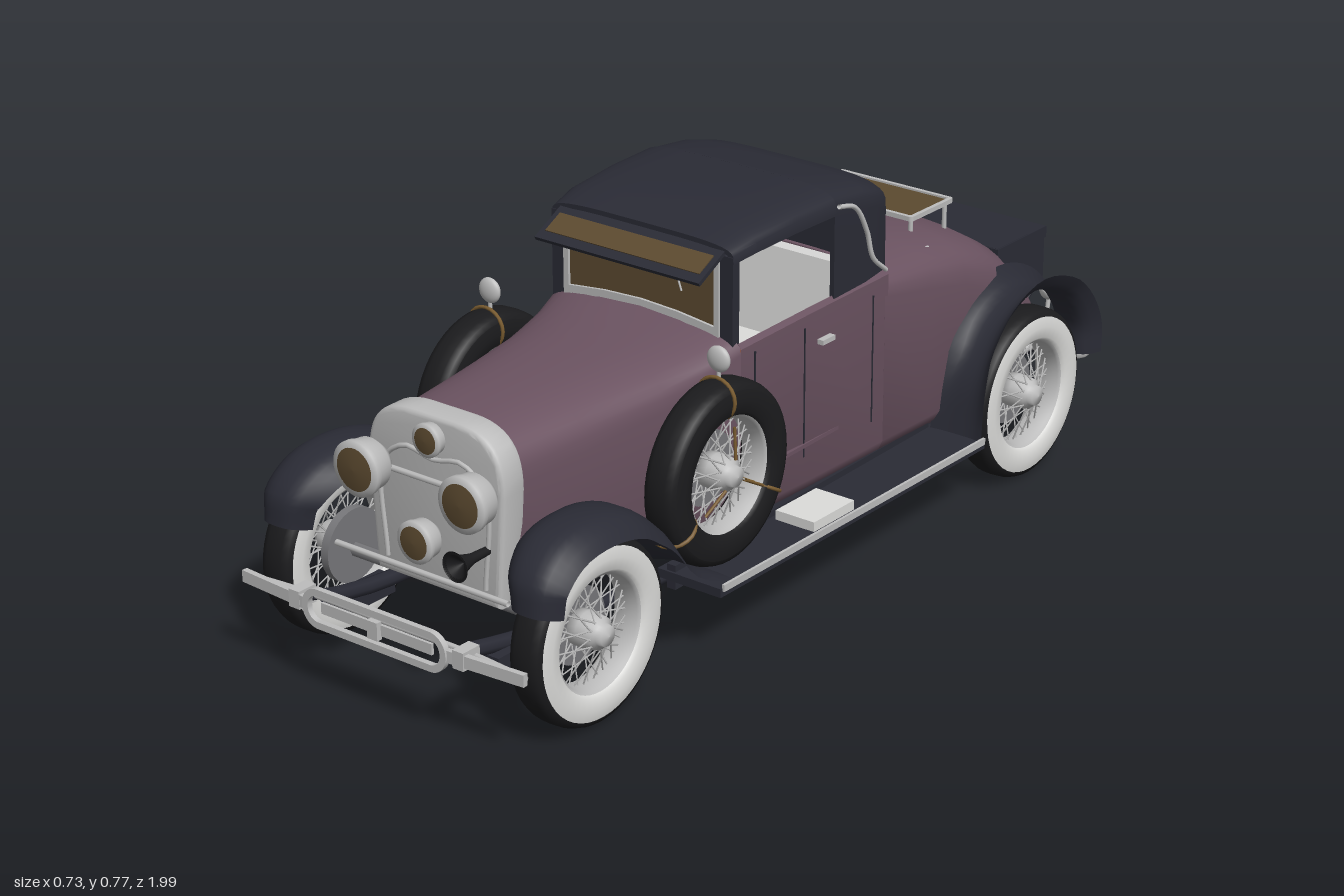
import * as THREE from 'three';
import { mergeGeometries, toCreasedNormals } from 'three/addons/utils/BufferGeometryUtils.js';

const mat = (name, color) => new THREE.MeshStandardMaterial({ name, color, side: THREE.DoubleSide });
const M = {
  body: mat('plum paint', 0x6b5361), black: mat('black enamel', 0x2a2b35), tyre: mat('tyre rubber', 0x1b1b1d),
  white: mat('white trim', 0xdcdcda), chrome: mat('bright metal', 0xbdbdbd), glass: mat('amber glass', 0x5c4a30),
  wood: mat('tan leather', 0x9a4c25), brass: mat('brass', 0x7a5c30), steel: mat('dull steel', 0x77777a),
};
const V = (x, y, z) => new THREE.Vector3(x, y, z);
const sides = [-1, 1];

function add(parent, name, geo, material, pos = [0, 0, 0], rot = [0, 0, 0]) {
  const m = new THREE.Mesh(geo, material);
  m.name = name;
  m.position.set(...pos);
  m.rotation.set(...rot);
  parent.add(m);
  return m;
}
const box = (p, name, material, size, pos, rot) => add(p, name, new THREE.BoxGeometry(...size), material, pos, rot);
const tubeGeo = (pts, r, n = 8, closed = false) => pts.length === 2
  ? new THREE.TubeGeometry(new THREE.LineCurve3(V(...pts[0]), V(...pts[1])), 1, r, n)
  : new THREE.TubeGeometry(new THREE.CatmullRomCurve3(pts.map(q => V(...q)), closed), 32, r, n, closed);
const tube = (p, name, material, pts, r, closed) => add(p, name, tubeGeo(pts, r, 8, closed), material);
const lathe = (pts, n = 40) => new THREE.LatheGeometry(pts.map(q => new THREE.Vector2(...q)), n);

// Skins a stack of counter-clockwise loops running from front to back
function loft(loops, cap) {
  const n = loops[0].length, pos = loops.flat(2), idx = [], last = (loops.length - 1) * n;
  for (let i = 0; i < loops.length - 1; i++) for (let j = 0; j < n; j++) {
    const a = i * n + j, b = i * n + (j + 1) % n;
    idx.push(a, a + n, b, b, a + n, b + n);
  }
  if (cap === 'solid') for (let j = 1; j < n - 1; j++) idx.push(0, j, j + 1, last, last + j + 1, last + j);
  if (cap === 'band') for (let j = 0; j < n / 2 - 1; j++) {
    const k = n - 1 - j;
    for (const o of [0, last]) idx.push(o + j, o + j + 1, o + k, o + k, o + j + 1, o + k - 1);
  }
  const g = new THREE.BufferGeometry();
  g.setAttribute('position', new THREE.Float32BufferAttribute(pos, 3));
  g.setIndex(idx);
  return toCreasedNormals(g, 0.65);
}
const mirrorLoop = (half, z) => [...half.map(([x, y]) => [x, y, z]), ...half.slice().reverse().map(([x, y]) => [-x, y, z])];
const lower = (w, yb) => [[w * 0.82, yb], [w * 0.96, yb + 0.03], [w, yb + 0.05]];
function crown(w, ys, yt, e, z, n = 18) {
  return Array.from({ length: n + 1 }, (_, k) => {
    const t = Math.PI * k / n, c = Math.cos(t);
    return [Math.sign(c) * w * Math.abs(c) ** e, ys + (yt - ys) * Math.abs(Math.sin(t)) ** e, z];
  });
}
const bodyLoop = ([z, w, yb, ys, yt]) => {
  const l = lower(w, yb);
  return [...l.map(([x, y]) => [x, y, z]), ...crown(w, ys, yt, 0.72, z), ...l.reverse().map(([x, y]) => [-x, y, z])];
};
const tubLoop = ([z, w, yb, ys]) =>
  mirrorLoop([...lower(w, yb), [w, ys], [w - 0.008, ys + 0.01], [w - 0.02, ys], [w - 0.02, yb + 0.03]], z);
const arch = (w, yb, yt, z) => [[w, yb, z], ...crown(w, Math.max(yb + 0.002, yt - 0.055), yt, 0.5, z), [-w, yb, z]];
const archBand = ([z, w, yb, yt]) => [...arch(w, yb, yt, z), ...arch(w - 0.01, yb, yt - 0.01, z).reverse()];

// Crowned sheet swept along a side path of [z, y, inner x, outer x]
function fender(path, s) {
  const curve = new THREE.CatmullRomCurve3(path.map(p => V(0, p[1], p[0])));
  const edge = new THREE.CatmullRomCurve3(path.map(p => V(p[2], p[3], 0)));
  const n = 28, m = 10, pos = [], idx = [];
  for (let i = 0; i <= n; i++) {
    const c = curve.getPoint(i / n), t = curve.getTangent(i / n), e = edge.getPoint(i / n);
    for (let j = 0; j <= m; j++) {
      const u = j / m, drop = 0.04 * Math.abs(2 * u - 1) ** 3 * Math.min(1, 2.5 * (1 - i / n) + 0.1);
      pos.push(s * (e.x + (e.y - e.x) * u), c.y + t.z * drop, c.z - t.y * drop);
      if (i < n && j < m) {
        const a = i * (m + 1) + j, b = a + m + 1;
        idx.push(a, b, a + 1, a + 1, b, b + 1);
      }
    }
  }
  const g = new THREE.BufferGeometry();
  g.setAttribute('position', new THREE.Float32BufferAttribute(pos, 3));
  g.setIndex(idx);
  g.computeVertexNormals();
  return g;
}

// Wire wheel with its axle along x
function wheel(name, wallMat) {
  const g = new THREE.Group();
  g.name = name;
  const across = geo => geo.rotateZ(-Math.PI / 2);
  const wall = [[0.166, 0.036], [0.145, 0.041], [0.122, 0.037], [0.116, 0.03]];
  add(g, 'tread', across(lathe([[0.166, -0.036], [0.176, -0.031], [0.181, -0.018], [0.182, 0], [0.181, 0.018], [0.176, 0.031], [0.166, 0.036]], 48)), M.tyre);
  add(g, 'outerSidewall', across(lathe(wall, 48)), wallMat);
  add(g, 'innerSidewall', across(lathe(wall.map(([r, h]) => [r, -h]).reverse(), 48)), wallMat);
  add(g, 'rim', across(lathe([[0.116, 0.03], [0.11, 0.025], [0.106, 0], [0.11, -0.025], [0.116, -0.03]], 48)), M.chrome);
  const spokes = [];
  for (let i = 0; i < 48; i++) {
    const a = i * Math.PI / 24, b = a + (i % 4 < 2 ? 0.45 : -0.45), h = i % 2 ? 0.032 : -0.022;
    spokes.push(tubeGeo([[h, 0.03 * Math.cos(b), 0.03 * Math.sin(b)], [0, 0.108 * Math.cos(a), 0.108 * Math.sin(a)]], 0.0018, 4));
  }
  add(g, 'spokes', mergeGeometries(spokes), M.chrome);
  add(g, 'hub', across(lathe([[0, -0.03], [0.034, -0.03], [0.036, 0], [0.032, 0.032], [0.022, 0.036], [0.02, 0.048], [0, 0.052]], 24)), M.chrome);
  add(g, 'brakeDrum', across(new THREE.CylinderGeometry(0.075, 0.075, 0.018, 32)), M.steel, [-0.03, 0, 0]);
  return g;
}
function lamp(p, name, r, pos, depth = 1, back = false) {
  const g = new THREE.Group();
  g.name = name;
  const turn = geo => geo.rotateX(Math.PI / 2);
  add(g, 'shell', turn(lathe([[0, -0.9 * r * depth], [0.55 * r, -0.8 * r * depth], [0.9 * r, -0.4 * r * depth], [0.95 * r, 0.1 * r], [r, 0.15 * r], [r, 0.35 * r], [0.77 * r, 0.42 * r]])), M.chrome);
  add(g, 'lens', turn(lathe([[0.78 * r, 0.41 * r], [0.4 * r, 0.48 * r], [0, 0.5 * r]])), M.glass);
  g.position.set(...pos);
  if (back) g.rotation.y = Math.PI;
  p.add(g);
}
function roundRect(C, w, h, r) {
  const s = new C(), x = w / 2 - r, y = h / 2 - r;
  s.absarc(x, y, r, 0, Math.PI / 2);
  s.absarc(-x, y, r, Math.PI / 2, Math.PI);
  s.absarc(-x, -y, r, Math.PI, Math.PI * 1.5);
  s.absarc(x, -y, r, Math.PI * 1.5, Math.PI * 2);
  s.closePath();
  return s;
}
function ring(w, h, r, t, depth) {
  const s = roundRect(THREE.Shape, w, h, r);
  s.holes.push(roundRect(THREE.Path, w - 2 * t, h - 2 * t, Math.max(r - t, 0.002)));
  return new THREE.ExtrudeGeometry(s, { depth, bevelEnabled: false, curveSegments: 10 });
}

export function createModel() {
  const car = new THREE.Group();
  car.name = 'vintageRoadster';

  // Hood, open cockpit tub and barrel tail
  add(car, 'hood', loft([[0.77, 0.158, 0.19, 0.43, 0.528], [0.6, 0.175, 0.17, 0.44, 0.536], [0.4, 0.2, 0.15, 0.46, 0.543], [0.28, 0.22, 0.145, 0.49, 0.55], [0.21, 0.232, 0.14, 0.52, 0.566]].map(bodyLoop), 'solid'), M.body);
  add(car, 'cockpitTub', loft([[0.21, 0.232, 0.14, 0.53], [0, 0.24, 0.14, 0.54], [-0.25, 0.243, 0.14, 0.545]].map(tubLoop)), M.body);
  add(car, 'tail', loft([[-0.24, 0.243, 0.14, 0.5, 0.56], [-0.4, 0.246, 0.14, 0.47, 0.558], [-0.52, 0.246, 0.14, 0.44, 0.543], [-0.62, 0.246, 0.15, 0.4, 0.515], [-0.7, 0.244, 0.17, 0.35, 0.47], [-0.77, 0.24, 0.19, 0.29, 0.4], [-0.81, 0.232, 0.2, 0.26, 0.33], [-0.835, 0.2, 0.21, 0.262, 0.27]].map(bodyLoop), 'solid'), M.body);
  for (const s of sides) {
    for (const z of [0.17, 0.02, -0.2]) box(car, 'doorSeam', M.black, [0.003, 0.27, 0.003], [s * (z > 0.1 ? 0.2345 : z > 0 ? 0.2395 : 0.2425), 0.38, z]);
    box(car, 'sideMoulding', M.body, [0.008, 0.008, 0.44], [s * 0.239, 0.27, -0.01], [0, s * 0.023, 0]);
    box(car, 'doorHandle', M.chrome, [0.015, 0.01, 0.04], [s * 0.247, 0.475, -0.04]);
    box(car, 'doorLining', M.wood, [0.005, 0.32, 0.42], [s * 0.212, 0.36, -0.02]);
  }
  // Interior
  box(car, 'dashboard', M.wood, [0.4, 0.1, 0.012], [0, 0.49, 0.2]);
  for (const x of [-0.07, -0.025, 0.025, 0.07]) add(car, 'gauge', new THREE.CircleGeometry(0.015, 20), M.white, [x, 0.5, 0.193], [0, Math.PI, 0]);
  box(car, 'seatCushion', M.white, [0.41, 0.1, 0.18], [0, 0.33, -0.11]);
  box(car, 'seatBack', M.white, [0.41, 0.24, 0.05], [0, 0.44, -0.21], [-0.12, 0, 0]);
  add(car, 'steeringWheel', new THREE.TorusGeometry(0.052, 0.005, 8, 32), M.wood, [0.1, 0.56, 0.135], [0.93, 0, 0]);
  tube(car, 'steeringColumn', M.steel, [[0.1, 0.56, 0.135], [0.1, 0.44, 0.21]], 0.006);

  // Cloth top with rear quarters and oval window
  add(car, 'roof', loft([[0.22, 0.222, 0.702, 0.737], [0.16, 0.23, 0.71, 0.755], [0.04, 0.235, 0.715, 0.767], [-0.08, 0.238, 0.715, 0.77]].map(archBand), 'band'), M.black);
  add(car, 'roofQuarters', loft([[-0.075, 0.238, 0.545, 0.77], [-0.18, 0.238, 0.545, 0.758], [-0.24, 0.235, 0.55, 0.742], [-0.255, 0.23, 0.55, 0.733]].map(archBand), 'band'), M.black);
  add(car, 'roofBack', loft([arch(0.23, 0.55, 0.733, -0.25), arch(0.221, 0.552, 0.722, -0.264)], 'solid'), M.black);
  add(car, 'rearWindow', new THREE.CircleGeometry(0.1, 32), M.glass, [0, 0.645, -0.267], [0, Math.PI, 0]).scale.y = 0.36;
  for (const s of sides) tube(car, 'landauIron', M.chrome, [[s * 0.244, 0.735, -0.08], [s * 0.246, 0.72, -0.13], [s * 0.246, 0.66, -0.17], [s * 0.247, 0.6, -0.19], [s * 0.247, 0.56, -0.235]], 0.005);

  // Windscreen with curved sill, wipers and sun visor
  const frame = new THREE.Shape([[-0.19, 0.545], [-0.1, 0.562], [0, 0.568], [0.1, 0.562], [0.19, 0.545], [0.19, 0.7], [-0.19, 0.7]].map(q => new THREE.Vector2(...q)));
  const pane = [[-0.178, 0.568], [-0.09, 0.578], [0, 0.582], [0.09, 0.578], [0.178, 0.568], [0.178, 0.69], [-0.178, 0.69]].map(q => new THREE.Vector2(...q));
  frame.holes.push(new THREE.Path(pane));
  add(car, 'windscreenFrame', new THREE.ExtrudeGeometry(frame, { depth: 0.014, bevelEnabled: false }), M.chrome, [0, 0, 0.212]);
  add(car, 'windscreenGlass', new THREE.ShapeGeometry(new THREE.Shape(pane)), M.glass, [0, 0, 0.22]);
  for (const s of sides) box(car, 'windscreenPost', M.black, [0.03, 0.19, 0.02], [s * 0.206, 0.62, 0.212]);
  tube(car, 'wiper', M.chrome, [[-0.15, 0.645, 0.23], [-0.105, 0.68, 0.23]], 0.002);
  tube(car, 'wiper', M.chrome, [[0.085, 0.68, 0.23], [0.105, 0.625, 0.23]], 0.002);
  box(car, 'visor', M.black, [0.4, 0.008, 0.1], [0, 0.703, 0.252], [0.48, 0, 0]);
  box(car, 'visorGlass', M.glass, [0.375, 0.012, 0.05], [0, 0.701, 0.256], [0.48, 0, 0]);

  // Radiator shell and grille face
  const shell = new THREE.Shape();
  shell.moveTo(-0.14, 0.205);
  shell.lineTo(0.14, 0.205);
  shell.lineTo(0.155, 0.42);
  shell.bezierCurveTo(0.155, 0.49, 0.13, 0.53, 0.05, 0.53);
  shell.lineTo(-0.05, 0.53);
  shell.bezierCurveTo(-0.13, 0.53, -0.155, 0.49, -0.155, 0.42);
  add(car, 'radiatorShell', toCreasedNormals(new THREE.ExtrudeGeometry(shell, { depth: 0.04, bevelSize: 0.01, bevelThickness: 0.012, bevelSegments: 3 }), 0.7), M.chrome, [0, 0, 0.765]);
  tube(car, 'grilleArch', M.chrome, [[-0.12, 0.23, 0.818], [-0.125, 0.42, 0.818], [-0.07, 0.465, 0.818], [0, 0.455, 0.818], [0.07, 0.465, 0.818], [0.125, 0.42, 0.818], [0.12, 0.23, 0.818]], 0.005);
  tube(car, 'lampBar', M.chrome, [[-0.13, 0.415, 0.825], [0.13, 0.415, 0.825]], 0.006);
  for (const s of sides) lamp(car, 'headlight', 0.055, [s * 0.128, 0.425, 0.868]);
  lamp(car, 'badgeLamp', 0.033, [0, 0.498, 0.825]);
  lamp(car, 'drivingLamp', 0.042, [0, 0.31, 0.86]);
  add(car, 'horn', lathe([[0.008, -0.08], [0.01, -0.03], [0.018, 0], [0.03, 0.015], [0.022, 0.012], [0, -0.01]]).rotateX(Math.PI / 2), M.tyre, [0.125, 0.31, 0.89]);
  tube(car, 'crossBar', M.chrome, [[-0.21, 0.245, 0.86], [0.21, 0.245, 0.86]], 0.006);

  // Wheels, spare wheels, axles and fenders
  for (const s of sides) {
    for (const [name, z] of [['frontWheel', 0.754], ['rearWheel', -0.636]]) {
      const w = wheel(name, M.white);
      w.position.set(s * 0.304, 0.183, z);
      w.rotation.y = s > 0 ? 0 : Math.PI;
      car.add(w);
    }
    const spare = wheel('spareWheel', M.tyre);
    spare.position.set(s * 0.283, 0.345, 0.35);
    spare.rotation.y = s > 0 ? 0 : Math.PI;
    for (const a of [0, 2.1, 4.2]) {
      const strap = add(spare, 'strap', new THREE.TorusGeometry(0.043, 0.004, 6, 20), M.brass, [0, 0.148 * Math.cos(a), 0.148 * Math.sin(a)], [a, 0, 0]);
      strap.scale.y = 0.95;
      tube(spare, 'strapArm', M.brass, [[0.042, 0.1 * Math.cos(a), 0.1 * Math.sin(a)], [0.045, 0.035 * Math.cos(a), 0.035 * Math.sin(a)]], 0.003);
    }
    car.add(spare);
    tube(car, 'mirrorPost', M.chrome, [[s * 0.28, 0.525, 0.34], [s * 0.28, 0.56, 0.34]], 0.004);
    add(car, 'mirror', new THREE.SphereGeometry(0.026, 24, 16), M.chrome, [s * 0.28, 0.567, 0.34]).scale.z = 0.45;
    add(car, 'frontFender', fender([[0.925, 0.275, 0.245, 0.362], [0.915, 0.335, 0.23, 0.367], [0.85, 0.39, 0.21, 0.367], [0.75, 0.405, 0.2, 0.367], [0.64, 0.38, 0.19, 0.367], [0.56, 0.315, 0.19, 0.365], [0.49, 0.22, 0.2, 0.36], [0.38, 0.155, 0.21, 0.355]], s), M.black);
    add(car, 'rearFender', fender([[-0.84, 0.2, 0.24, 0.35], [-0.835, 0.27, 0.235, 0.352], [-0.77, 0.355, 0.235, 0.353], [-0.65, 0.398, 0.235, 0.353], [-0.54, 0.36, 0.235, 0.353], [-0.465, 0.27, 0.235, 0.353], [-0.43, 0.15, 0.23, 0.355]], s), M.black);

    // Running board, step pad and chassis
    box(car, 'runningBoard', M.black, [0.15, 0.018, 0.87], [s * 0.28, 0.143, -0.005]);
    box(car, 'boardTrim', M.chrome, [0.006, 0.014, 0.86], [s * 0.357, 0.153, -0.005]);
    box(car, 'stepPad', M.white, [0.092, 0.02, 0.13], [s * 0.309, 0.172, 0.075]);
    box(car, 'splashApron', M.black, [0.02, 0.05, 0.85], [s * 0.225, 0.14, 0], [0, s * 0.02, 0]);
    tube(car, 'chassisRail', M.black, [[s * 0.175, 0.17, 0.93], [s * 0.178, 0.145, 0.8], [s * 0.19, 0.125, 0.5], [s * 0.215, 0.125, 0], [s * 0.215, 0.13, -0.45], [s * 0.19, 0.19, -0.65], [s * 0.17, 0.17, -0.88]], 0.016);
    box(car, 'springHanger', M.black, [0.04, 0.035, 0.14], [s * 0.19, 0.13, 0.82]);
  }
  for (const z of [0.754, -0.636]) tube(car, 'axle', M.steel, [[-0.28, 0.175, z], [0.28, 0.175, z]], 0.014);

  // Front bumper: straight bars joined to a central loop
  add(car, 'bumperLoop', ring(0.35, 0.08, 0.038, 0.014, 0.012), M.chrome, [0, 0.18, 0.98]);
  box(car, 'bumperClamp', M.chrome, [0.025, 0.036, 0.012], [0, 0.18, 0.988]);
  box(car, 'bumperCentre', M.chrome, [0.27, 0.022, 0.006], [0, 0.18, 0.981]);
  tube(car, 'bumperBackBar', M.chrome, [[-0.34, 0.18, 0.965], [-0.2, 0.18, 0.952], [0, 0.18, 0.952], [0.2, 0.18, 0.952], [0.34, 0.18, 0.965]], 0.006);
  for (const s of sides) {
    box(car, 'bumperBar', M.chrome, [0.175, 0.024, 0.012], [s * 0.256, 0.18, 0.976], [0, s * 0.07, 0]);
    box(car, 'bumperBracket', M.chrome, [0.026, 0.036, 0.045], [s * 0.2, 0.18, 0.965]);
    tube(car, 'bumperArm', M.black, [[s * 0.175, 0.17, 0.9], [s * 0.19, 0.18, 0.965]], 0.01);

    // Rear bumperettes and tail lamps
    add(car, 'rearBumperLoop', tubeGeo([[0.16, 0, -0.86], [0.23, 0, -0.84], [0.3, 0, -0.855], [0.315, 0, -0.88], [0.29, 0, -0.905], [0.2, 0, -0.9]].map(([x, y, z]) => [s * x, y, z]), 0.006, 8, true), M.chrome, [0, 0.195, 0]).scale.y = 2.2;
    tube(car, 'rearBumperArm', M.chrome, [[s * 0.19, 0.185, -0.8], [s * 0.21, 0.195, -0.895]], 0.009);
    tube(car, 'tailLampPost', M.chrome, [[s * 0.235, 0.2, -0.83], [s * 0.235, 0.31, -0.85]], 0.005);
    lamp(car, 'tailLamp', 0.022, [s * 0.235, 0.325, -0.85], 1, true);
  }

  // Trunk on its rack
  box(car, 'trunk', M.black, [0.25, 0.13, 0.18], [0, 0.335, -0.905]);
  box(car, 'trunkLid', M.black, [0.256, 0.025, 0.186], [0, 0.387, -0.905]);
  for (let i = 0; i < 6; i++) box(car, 'rackSlat', M.black, [0.012, 0.01, 0.19], [-0.1 + i * 0.04, 0.262, -0.9]);
  for (const s of sides) {
    tube(car, 'rackBrace', M.black, [[s * 0.11, 0.165, -0.86], [s * 0.11, 0.26, -0.98]], 0.006);
    box(car, 'rackRail', M.black, [0.015, 0.015, 0.2], [s * 0.11, 0.165, -0.84]);
  }
  box(car, 'rackBar', M.black, [0.24, 0.014, 0.014], [0, 0.165, -0.93]);

  // Luggage rail on the deck
  add(car, 'deckRail', ring(0.285, 0.15, 0.008, 0.009, 0.01).rotateX(-Math.PI / 2), M.chrome, [0, 0.566, -0.545]);
  box(car, 'deckPanel', M.glass, [0.268, 0.006, 0.134], [0, 0.569, -0.545]);
  for (const s of sides) {
    for (const z of [-0.485, -0.605]) tube(car, 'railFoot', M.chrome, [[s * 0.13, 0.5, z], [s * 0.13, 0.57, z]], 0.005);
    tube(car, 'deckStrip', M.chrome, [[s * 0.19, 0.53, -0.39], [s * 0.19, 0.525, -0.46]], 0.005);
  }
  return car;
}
